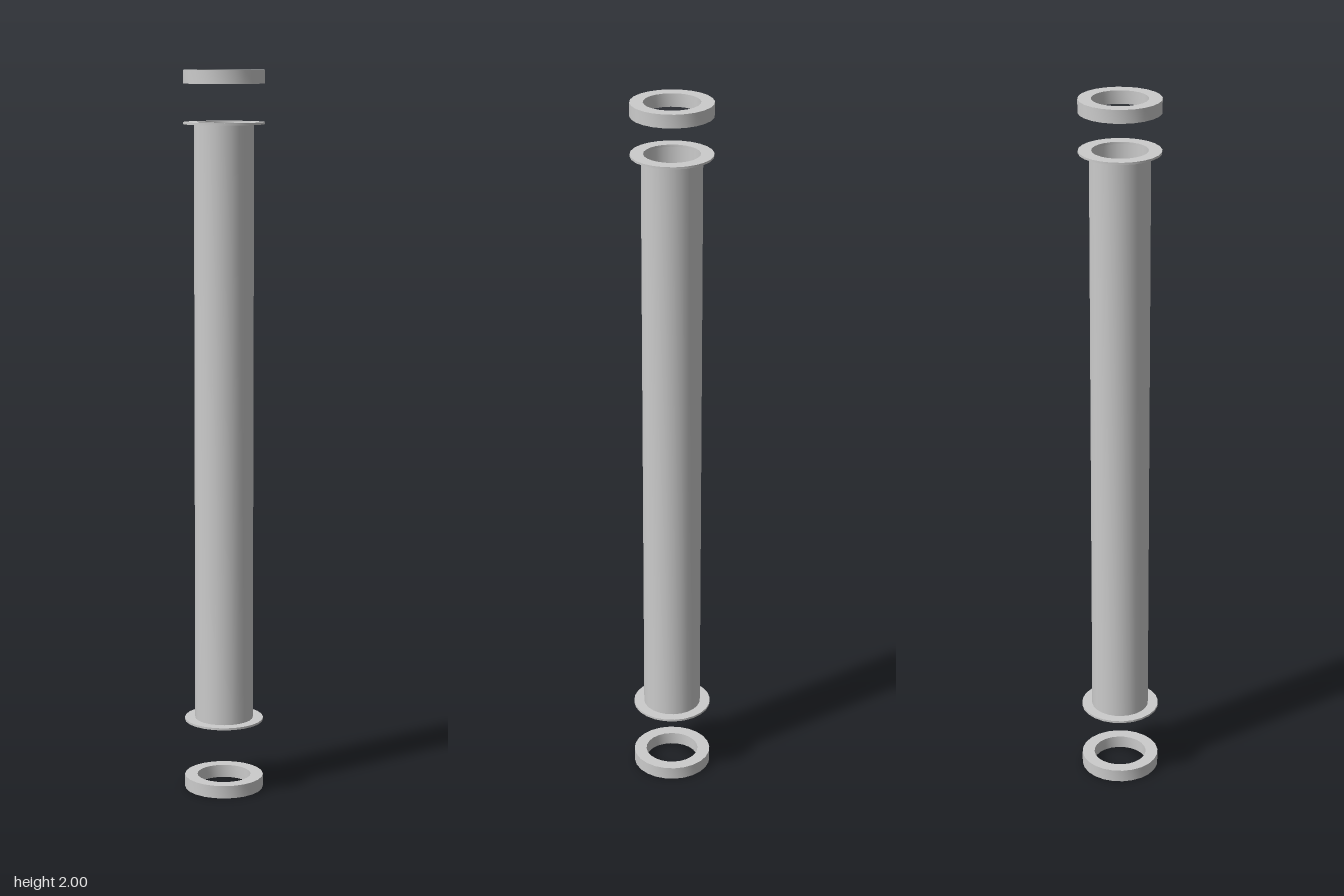
import * as THREE from 'three';
import { toCreasedNormals } from 'three/addons/utils/BufferGeometryUtils.js';

const SIDES = 24;
const BORE = 0.075, TUBE = 0.081, RIM = 0.11;
const BOTTOM = 0.197, TOP = 1.862, PLATE = 0.006;

export function createModel() {
  const group = new THREE.Group();
  const material = new THREE.MeshStandardMaterial({ color: 0xcccccc });

  const add = (name, geometry) => {
    const mesh = new THREE.Mesh(geometry, material);
    mesh.name = name;
    group.add(mesh);
    return mesh;
  };

  // Hollow ring with a rectangular section, standing from y0 to y1
  const ring = (name, inner, outer, y0, y1) => {
    const section = [[inner, y0], [outer, y0], [outer, y1], [inner, y1], [inner, y0]]
      .map(([r, y]) => new THREE.Vector2(r, y));
    add(name, toCreasedNormals(new THREE.LatheGeometry(section, SIDES), 0.6));
  };

  // Main pipe with a thin flange at each end
  ring('pipe', BORE, TUBE, BOTTOM + PLATE, TOP - PLATE);
  ring('lowerFlange', BORE, RIM, BOTTOM, BOTTOM + PLATE);
  ring('upperFlange', BORE, RIM, TOP - PLATE, TOP);

  // Plate closing the lower end of the bore
  const floor = add('pipeFloor', new THREE.CylinderGeometry(BORE, BORE, 0.003, SIDES));
  floor.position.y = BOTTOM + PLATE;

  // Loose collars floating beyond each end
  ring('lowerCollar', BORE, RIM, 0, 0.036);
  ring('upperCollar', BORE, RIM, 1.964, 2);

  return group;
}
